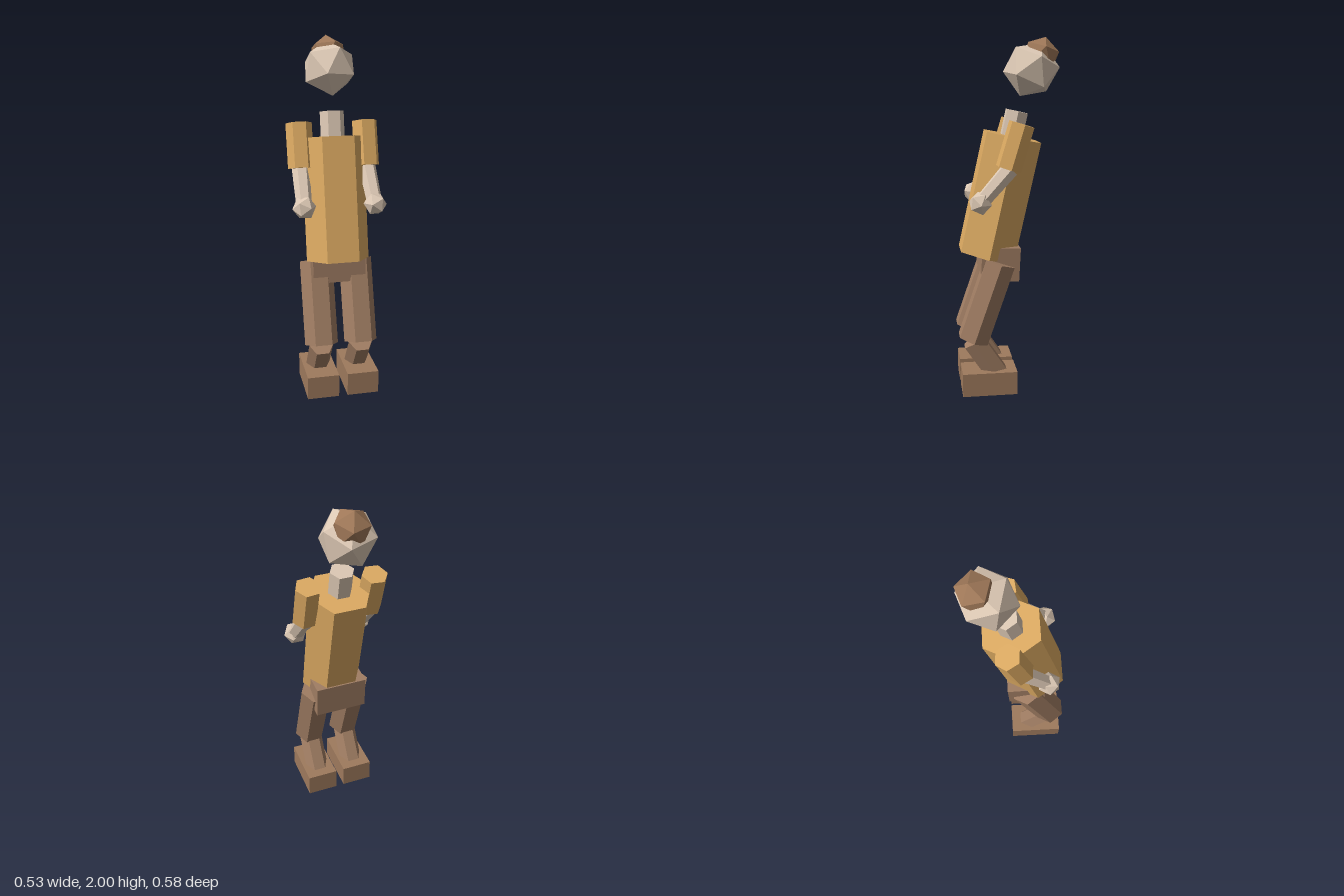
import * as THREE from 'three';

const flat = (name, color) => {
  const m = new THREE.MeshStandardMaterial({ color, flatShading: true });
  m.name = name;
  return m;
};
const V = (x, y, z) => new THREE.Vector3(x, y, z);

export function createModel() {
  const model = new THREE.Group();
  model.name = 'figure';
  const shirt = flat('shirt yellow', 0xdcaa62);
  const skin = flat('skin beige', 0xdcc8b4);
  const trousers = flat('trouser brown', 0xa07d63);
  const shoe = flat('shoe brown', 0x9e7a5d);
  const hair = flat('hair brown', 0x9f7858);

  const add = (name, geometry, material, position) => {
    const mesh = new THREE.Mesh(geometry, material);
    mesh.name = name;
    mesh.position.copy(position);
    model.add(mesh);
    return mesh;
  };

  // Six-sided limb from its lower end to its upper end, a flat side to the front
  const prism = (name, material, low, high, rLow, rHigh = rLow, yaw = 0) => {
    const axis = high.clone().sub(low);
    const g = new THREE.CylinderGeometry(rHigh, rLow, axis.length(), 6).rotateY(Math.PI / 6 + yaw);
    const mesh = add(name, g, material, low.clone().add(high).multiplyScalar(0.5));
    mesh.quaternion.setFromUnitVectors(V(0, 1, 0), axis.normalize());
    return mesh;
  };

  // Icosahedron turned so that one of its edges runs from direction p to direction q
  const icosa = (name, material, centre, radius, p, q) => {
    const mesh = add(name, new THREE.IcosahedronGeometry(radius, 0), material, centre);
    const y = p.clone().normalize().add(q.clone().normalize()).normalize();
    const x = q.clone().normalize().sub(p.clone().normalize()).normalize();
    const z = x.clone().cross(y).normalize();
    mesh.quaternion.setFromRotationMatrix(new THREE.Matrix4().makeBasis(x, y, z));
    return mesh;
  };

  // Body
  prism('torso', shirt, V(0, 0.783, 0.12), V(0, 1.455, -0.03), 0.178);
  prism('neck', skin, V(0, 1.43, -0.02), V(0, 1.594, -0.056), 0.068);
  const pelvis = add('pelvis', new THREE.BoxGeometry(0.3, 0.19, 0.216), trousers, V(0, 0.751, 0.053));
  pelvis.rotation.x = -0.05;

  // Head and hair bun
  icosa('head', skin, V(0.002, 1.821, -0.136), 0.158, V(-0.037, -0.012, 0.154), V(0.118, -0.027, 0.102));
  icosa('hairBun', hair, V(0.003, 1.896, -0.186), 0.106, V(-0.003, 0.1, -0.032), V(0.025, 0.02, -0.095));

  for (const [side, s] of [['left', 1], ['right', -1]]) {
    // Arm
    prism(side + 'UpperArm', shirt, V(s * 0.187, 1.295, 0.016), V(s * 0.187, 1.535, -0.056), 0.073, 0.073, s * 0.1);
    prism(side + 'Forearm', skin, V(s * 0.197, 1.11, 0.17), V(s * 0.189, 1.295, 0.006), 0.043, 0.05);
    icosa(side + 'Hand', skin, V(s * 0.198, 1.112, 0.17), 0.066, V(s * 0.063, -0.005, 0), V(s * 0.025, -0.03, 0.051));

    // Leg
    prism(side + 'Thigh', trousers, V(s * 0.114, 0.31, 0.21), V(s * 0.114, 0.76, 0.055), 0.095);
    prism(side + 'Shin', trousers, V(s * 0.115, 0.09, 0.066), V(s * 0.115, 0.303, 0.208), 0.07);
    add(side + 'Foot', new THREE.BoxGeometry(0.182, 0.134, 0.311), shoe, V(s * 0.116, 0.067, 0.121));
  }
  return model;
}
